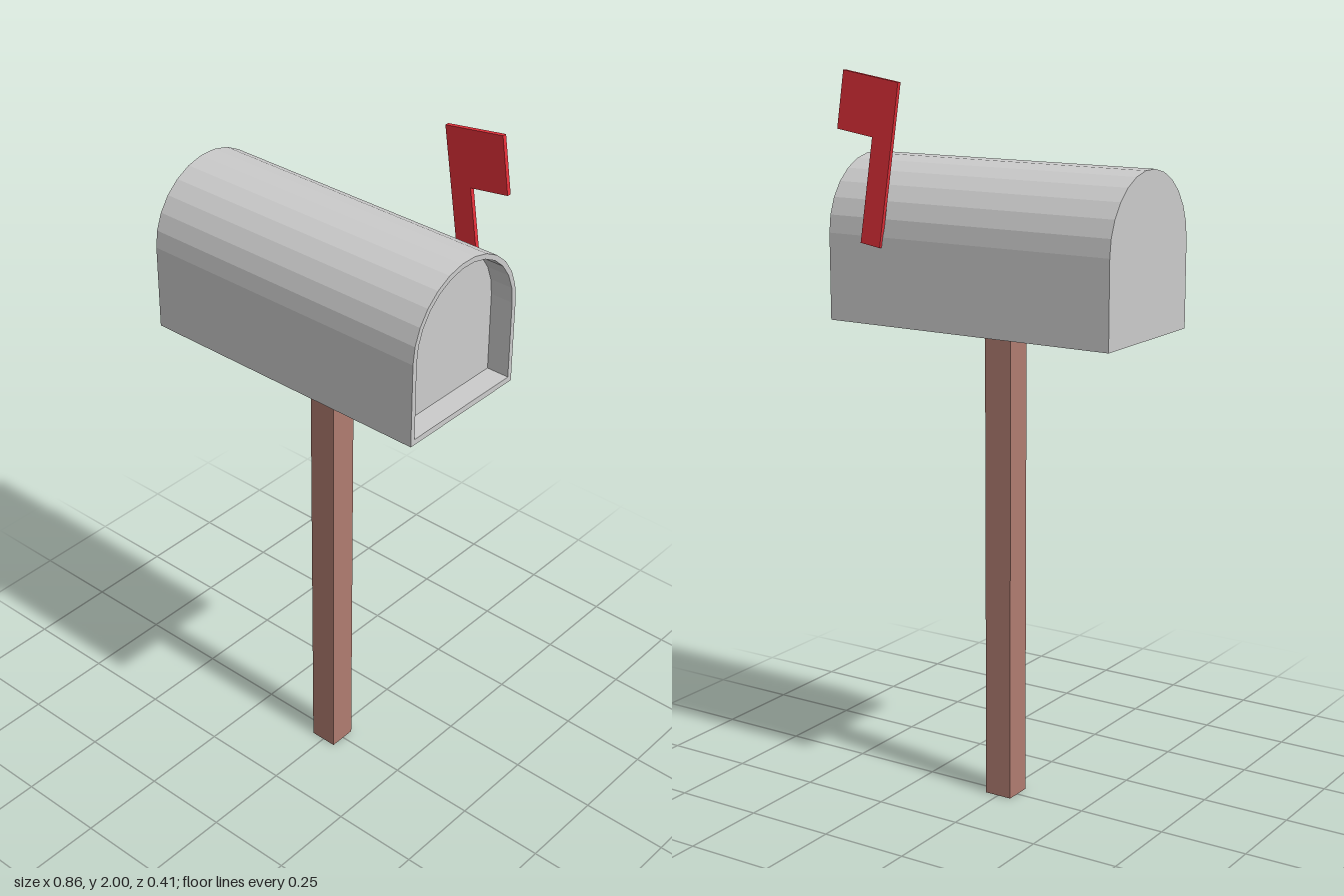
import * as THREE from 'three';

const grey = new THREE.MeshStandardMaterial({ color: 0xcccccc });
const wood = new THREE.MeshStandardMaterial({ color: 0xb07c70 });
const red = new THREE.MeshStandardMaterial({ color: 0xe5303a });

const END = 0.43;        // half length of the box
const DOOR = 0.365;      // x of the recessed door
const BOTTOM = 1.335;
const SPRING = 1.57;     // height where the arched roof begins
const MID_Z = 0.003;

// Arched outline: flat floor, straight sides, 13-sided half-round roof
function archPoints(radius, bottom) {
  const pts = [new THREE.Vector2(-radius, bottom), new THREE.Vector2(radius, bottom)];
  for (let i = 0; i <= 13; i++) {
    const a = (i / 13) * Math.PI;
    pts.push(new THREE.Vector2(radius * Math.cos(a), SPRING + radius * Math.sin(a)));
  }
  return pts;
}

// Extrude an outline along x between two positions
function extrudeX(shape, x0, x1) {
  return new THREE.ExtrudeGeometry(shape, { depth: x1 - x0, bevelEnabled: false })
    .rotateY(Math.PI / 2)
    .translate(x0, 0, MID_Z);
}

export function createModel() {
  const group = new THREE.Group();
  const add = (name, geometry, material) => {
    const mesh = new THREE.Mesh(geometry, material);
    mesh.name = name;
    group.add(mesh);
    return mesh;
  };

  // Post
  add('post', new THREE.BoxGeometry(0.08, BOTTOM, 0.08).translate(0, BOTTOM / 2, MID_Z), wood);

  // Box body, its +x face being the recessed door
  add('body', extrudeX(new THREE.Shape(archPoints(0.2, BOTTOM)), -END, DOOR), grey);

  // Thin rim standing proud around the door
  const rim = new THREE.Shape(archPoints(0.2, BOTTOM));
  rim.holes.push(new THREE.Path(archPoints(0.186, BOTTOM + 0.016)));
  add('rim', extrudeX(rim, DOOR, END), grey);

  // Raised flag on the back side, tilted; local origin at its top left corner
  const flagShape = new THREE.Shape([
    [0, 0], [0, -0.435], [0.062, -0.435], [0.062, -0.154], [0.176, -0.154], [0.176, 0],
  ].map(([x, y]) => new THREE.Vector2(x, y)));
  const flag = add('flag', new THREE.ExtrudeGeometry(flagShape, { depth: 0.012, bevelEnabled: false }), red);
  flag.position.set(0.193, 1.973, -0.206);
  flag.rotation.z = THREE.MathUtils.degToRad(8.7);

  return group;
}
